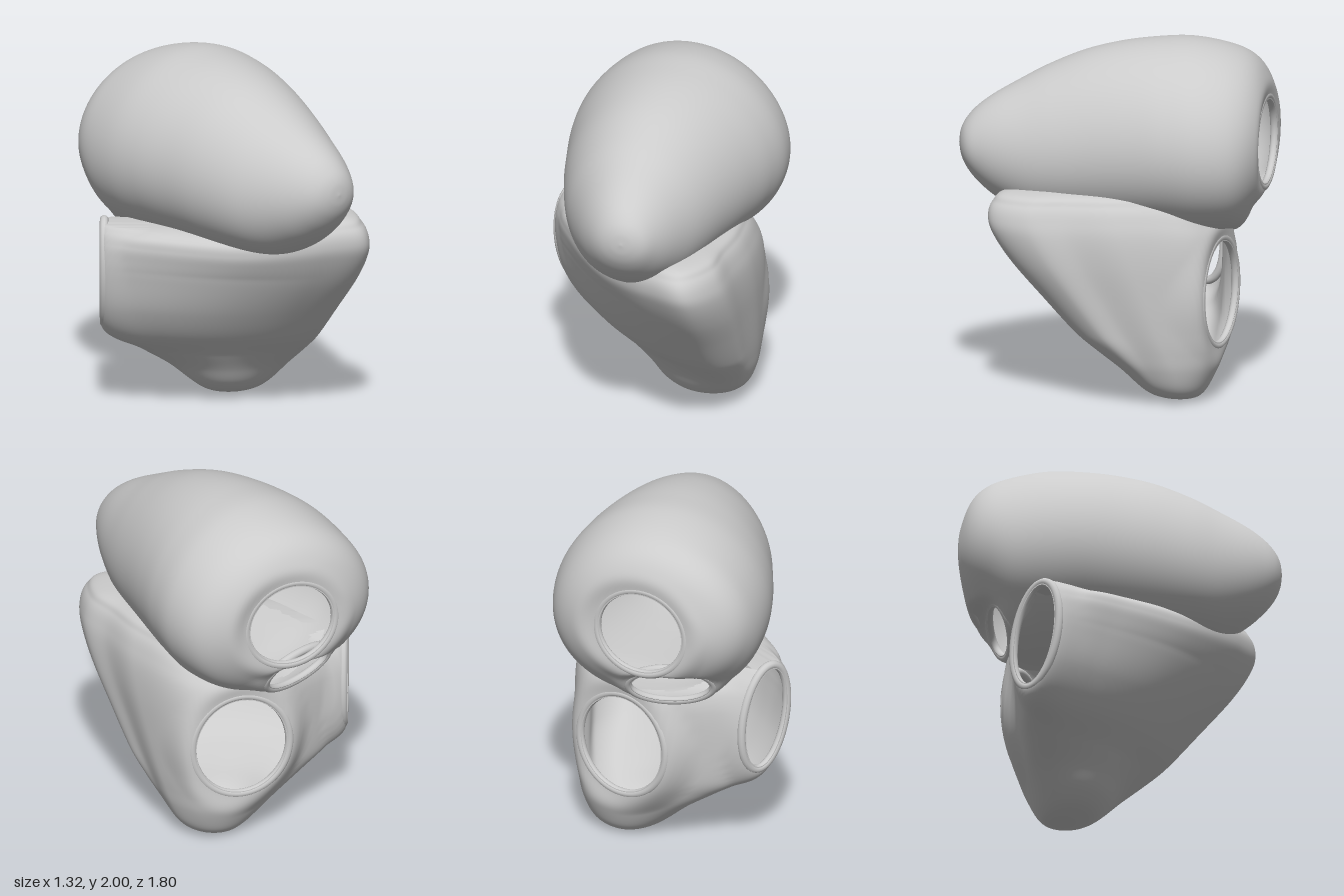
import * as THREE from 'three';
import { mergeVertices } from 'three/addons/utils/BufferGeometryUtils.js';

const V = (x, y, z) => new THREE.Vector3(x, y, z);
const { smoothstep } = THREE.MathUtils;
const ROWS = 140, SIDES = 120, RIM = 0.024;

// An elliptical opening: centre, outward direction, half width, half height, reach in depth, roll
function opening(name, centre, dir, w, h, reach, roll) {
  const n = dir.clone().normalize();
  const u = V(0, 1, 0).cross(n).normalize().applyAxisAngle(n, roll);
  const v = n.clone().cross(u);
  return { name, centre, n, u, v, w, h, reach };
}

// Flattens the wall around an opening and snaps its edge; returns true inside the hole
function fitToOpening(p, o) {
  const d = p.clone().sub(o.centre);
  const depth = d.dot(o.n);
  if (Math.abs(depth) > o.reach) return false;
  const a = d.dot(o.u), b = d.dot(o.v);
  const r = Math.hypot(a / o.w, b / o.h);
  if (r > 1.6) return false;
  p.addScaledVector(o.n, -depth * (1 - smoothstep(r, 1.05, 1.6)));
  if (r >= 1) return false;
  const k = 1 / Math.max(r, 1e-3) - 1;
  p.addScaledVector(o.u, a * k).addScaledVector(o.v, b * k);
  return true;
}

// Smooth sections through rows of [station, aMin, aMax, bMin, bMax], as middles and half sizes
function sections(keys) {
  const curve = (i, j) => new THREE.CatmullRomCurve3(
    keys.map(k => V(k[0], k[i], k[j])), false, 'catmullrom', 0.5);
  const A = curve(1, 2).getPoints(ROWS), B = curve(3, 4).getPoints(ROWS);
  return A.map((a, i) => ({
    s: a.x,
    a: (a.y + a.z) / 2, ra: (a.z - a.y) / 2,
    b: (B[i].y + B[i].z) / 2, rb: (B[i].z - B[i].y) / 2,
  }));
}

// Lofts a closed outline through the sections, leaving out openings and hidden walls
function loftShell(rows, outline, place, openings, hidden) {
  const pos = [], cut = [], index = [];
  for (const row of rows) {
    for (let j = 0; j < SIDES; j++) {
      const [ca, cb] = outline(j / SIDES, row.s);
      const p = place(row.s, row.a + row.ra * ca, row.b + row.rb * cb);
      let out = hidden(p);
      for (const o of openings) if (fitToOpening(p, o)) out = true;
      pos.push(p.x, p.y, p.z);
      cut.push(out);
    }
  }
  const face = (a, b, c) => {
    if (!(cut[a] && cut[b] && cut[c])) index.push(a, b, c);
  };
  for (let i = 0; i < ROWS; i++) {
    for (let j = 0; j < SIDES; j++) {
      const k = (j + 1) % SIDES;
      const a = i * SIDES + j, b = a + SIDES, c = i * SIDES + k, d = c + SIDES;
      face(a, b, c);
      face(c, b, d);
    }
  }
  let geo = new THREE.BufferGeometry();
  geo.setAttribute('position', new THREE.Float32BufferAttribute(pos, 3));
  geo.setIndex(index);
  geo = mergeVertices(geo, 1e-4);
  geo.computeVertexNormals();
  return geo;
}

// Rounded lip around an opening
function rimGeometry(o) {
  const pts = [];
  for (let i = 0; i < 24; i++) {
    const t = i / 24 * Math.PI * 2;
    pts.push(o.centre.clone()
      .addScaledVector(o.u, Math.cos(t) * (o.w + RIM * 0.8))
      .addScaledVector(o.v, Math.sin(t) * (o.h + RIM * 0.8))
      .addScaledVector(o.n, -RIM * 0.8));
  }
  return new THREE.TubeGeometry(new THREE.CatmullRomCurve3(pts, true), 96, RIM, 12, true);
}

export function createModel() {
  const group = new THREE.Group();
  const mat = new THREE.MeshStandardMaterial({ color: 0xcccccc, side: THREE.DoubleSide });
  const add = (name, geo) => {
    const mesh = new THREE.Mesh(geo, mat);
    mesh.name = name;
    group.add(mesh);
  };

  const upperOpenings = [
    opening('upperBackRim', V(0.1, 1.42, -0.81), V(0.25, 0, -0.97), 0.25, 0.235, 0.3, 0),
    opening('middleBackRim', V(-0.05, 1.04, -0.68), V(-0.1, -0.42, -0.9), 0.22, 0.12, 0.2, 0),
  ];
  const lowerOpenings = [
    opening('lowerBackRim', V(0.25, 0.6, -0.55), V(0.38, 0, -0.92), 0.26, 0.285, 0.3, 0),
    opening('lowerSideRim', V(-0.555, 0.79, -0.47), V(-0.77, 0, -0.64), 0.14, 0.29, 0.25, -0.18),
  ];

  // Upper chamber: oval sections from the blunt front tip to the broad back (z, x range, y range)
  const upperRows = sections([
    [0.9, 0.04, 0.04, 1.42, 1.42],
    [0.89, -0.03, 0.11, 1.35, 1.49],
    [0.86, -0.1, 0.17, 1.28, 1.55],
    [0.8, -0.17, 0.22, 1.2, 1.615],
    [0.7, -0.25, 0.28, 1.11, 1.685],
    [0.55, -0.34, 0.35, 1.02, 1.765],
    [0.4, -0.41, 0.41, 0.98, 1.84],
    [0.2, -0.47, 0.48, 0.96, 1.92],
    [0, -0.51, 0.55, 0.95, 1.97],
    [-0.2, -0.545, 0.615, 0.94, 1.995],
    [-0.4, -0.56, 0.65, 0.92, 2.0],
    [-0.6, -0.54, 0.61, 0.94, 1.96],
    [-0.74, -0.49, 0.47, 1.06, 1.89],
    [-0.83, -0.41, 0.24, 1.18, 1.77],
    [-0.885, -0.29, 0.0, 1.32, 1.59],
    [-0.9, -0.17, -0.17, 1.45, 1.45],
  ]);
  // The oval is a little fuller below than above
  const oval = t => {
    const s = Math.sin(t * 2 * Math.PI);
    return [Math.cos(t * 2 * Math.PI) * (1 - 0.07 * s), s];
  };
  add('upperChamber', loftShell(upperRows, oval, (s, a, b) => V(a, b, s), upperOpenings, () => false));

  // Lower chamber: rounded triangular plan, tapering to an offset foot (y, x range, z range)
  const lowerRows = sections([
    [0, 0.25, 0.25, -0.32, -0.32],
    [0.01, 0.15, 0.34, -0.41, -0.23],
    [0.04, 0.06, 0.42, -0.455, -0.14],
    [0.1, -0.03, 0.475, -0.495, -0.06],
    [0.2, -0.15, 0.515, -0.54, 0.04],
    [0.3, -0.3, 0.535, -0.565, 0.15],
    [0.42, -0.48, 0.55, -0.585, 0.28],
    [0.6, -0.59, 0.565, -0.6, 0.44],
    [0.8, -0.625, 0.575, -0.61, 0.61],
    [0.95, -0.625, 0.57, -0.6, 0.71],
    [1.05, -0.61, 0.55, -0.57, 0.745],
    [1.14, -0.56, 0.51, -0.5, 0.72],
    [1.2, -0.4, 0.43, -0.36, 0.62],
    [1.23, 0.1, 0.1, 0.2, 0.2],
  ]);
  const plan = new THREE.CatmullRomCurve3([
    [1, -0.07], [0.95, 0.35], [0.92, 0.7], [0.66, 1], [0.24, 0.88], [-0.3, 0.49], [-0.76, -0.07],
    [-1, -0.52], [-0.88, -0.82], [-0.3, -0.97], [0.38, -1], [0.88, -0.7],
  ].map(([x, z]) => V(x, 0, z)), true);
  // The plan rounds off towards the foot
  const triangle = (t, s) => {
    const p = plan.getPoint(t);
    p.lerp(p.clone().normalize(), 1 - smoothstep(s, 0, 0.4));
    return [p.x, p.z];
  };
  // The top sinks away from the high front corner
  const sink = (s, x, z) => 0.3 * Math.max(0, s - 0.85)
    * Math.max(smoothstep(-x, -0.25, 0.3), smoothstep(-z, 0.1, 0.6));
  // The two chambers share the upper chamber's floor
  const insideUpper = p => {
    const r = upperRows.reduce((m, q) => Math.abs(q.s - p.z) < Math.abs(m.s - p.z) ? q : m);
    return Math.hypot((p.x - r.a) / r.ra, (p.y - r.b) / r.rb) < 0.95;
  };
  add('lowerChamber', loftShell(lowerRows, triangle,
    (s, a, b) => V(a, s - sink(s, a, b), b), lowerOpenings, insideUpper));

  // Lips of the four openings
  for (const o of [...upperOpenings, ...lowerOpenings]) add(o.name, rimGeometry(o));

  return group;
}
